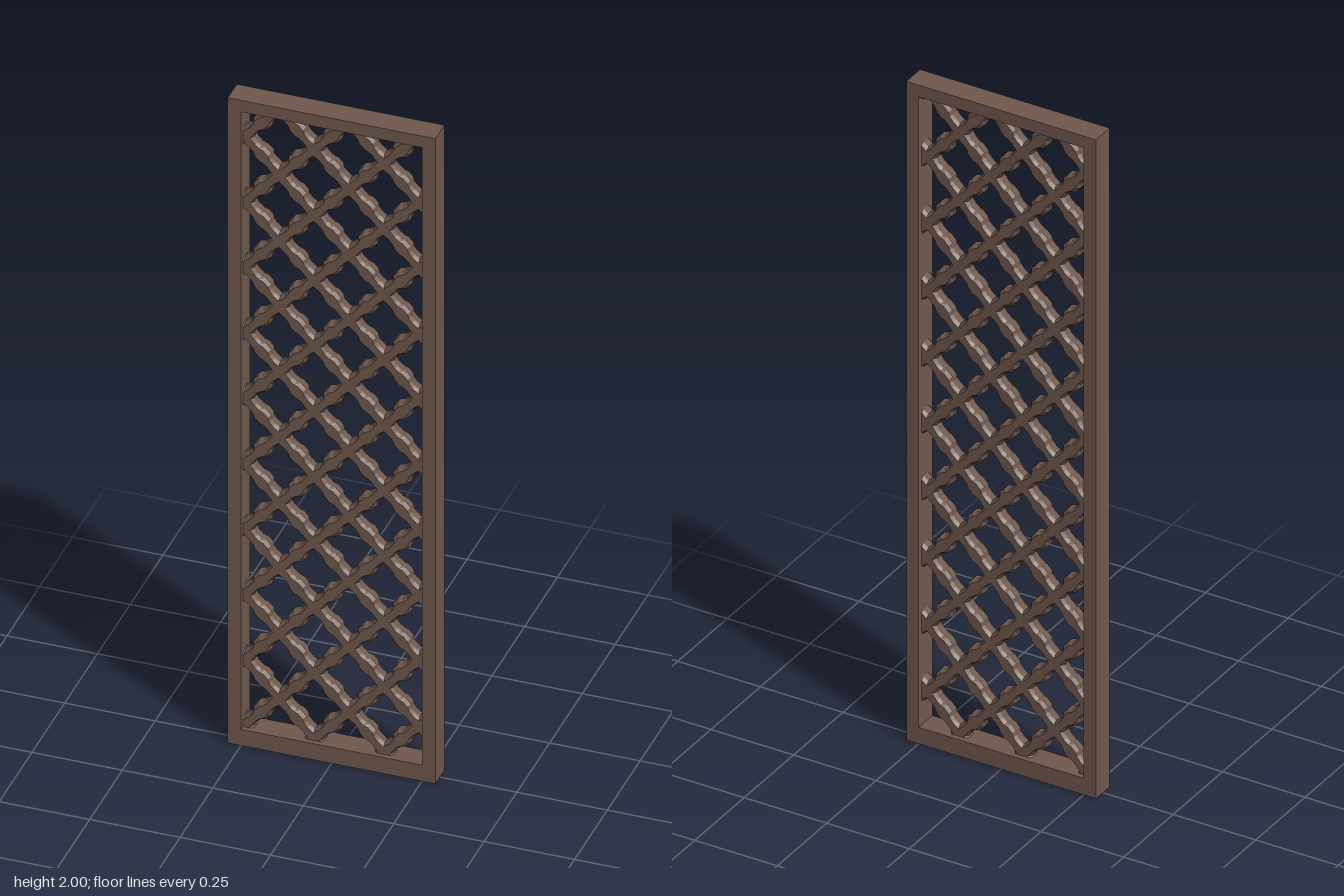
import * as THREE from 'three';

const W = 0.287, H = 2, SIDE = 0.037, BOTTOM = 0.05, TOP = 0.036, DEPTH = 0.069;
// lattice: one crossing point and half the diamond size
const X0 = 0.042, Y0 = 0.156, DX = 0.0965, DY = 0.1014;
const BAR_DEPTH = 0.02;
// half width of a bar between two crossings (position, width)
const PROFILE = [
  [0, 0.021], [0.12, 0.018], [0.25, 0.0145], [0.35, 0.0165], [0.43, 0.024],
  [0.57, 0.024], [0.65, 0.0165], [0.75, 0.0145], [0.88, 0.018], [1, 0.021],
];
// flat-faced bar section with chamfered edges (across, through)
const SECTION = [
  [1, -0.5], [1, 0.5], [0.65, 1], [-0.65, 1], [-1, 0.5], [-1, -0.5], [-0.65, -1], [0.65, -1],
];

function halfWidth(k) {
  const t = k - Math.floor(k);
  let i = 0;
  while (i < PROFILE.length - 2 && PROFILE[i + 1][0] < t) i++;
  const [a, b] = [PROFILE[i], PROFILE[i + 1]];
  return a[1] + ((b[1] - a[1]) * (t - a[0])) / (b[0] - a[0]);
}

// Diagonal bar with a cusp between crossings
function barGeometry(sign, m, k0, k1) {
  const stops = [k0];
  for (let n = Math.floor(k0); n <= k1; n++) {
    for (const [t] of PROFILE.slice(0, -1)) {
      if (n + t > k0 + 0.01 && n + t < k1 - 0.01) stops.push(n + t);
    }
  }
  stops.push(k1);
  const dir = new THREE.Vector2(sign * DX, DY).normalize();
  const pos = [], index = [], N = SECTION.length;
  stops.forEach((k, r) => {
    const w = halfWidth(k);
    const cx = X0 + DX * (sign * k + 2 * m), cy = Y0 + DY * k;
    SECTION.forEach(([u, z], j) => {
      pos.push(cx - dir.y * u * w, cy + dir.x * u * w, z * BAR_DEPTH);
      if (r > 0) {
        const q = (j + 1) % N, A = (r - 1) * N, B = r * N;
        index.push(A + j, A + q, B + j, A + q, B + q, B + j);
      }
    });
  });
  const geo = new THREE.BufferGeometry();
  geo.setAttribute('position', new THREE.Float32BufferAttribute(pos, 3));
  geo.setIndex(index);
  const flat = geo.toNonIndexed();
  flat.computeVertexNormals();
  return flat;
}

export function createModel() {
  const model = new THREE.Group();
  model.name = 'latticePanel';
  const wood = new THREE.MeshStandardMaterial({ color: 0x70594e });
  wood.name = 'brown wood';

  // Mitred frame
  const frame = new THREE.Group();
  frame.name = 'frame';
  const outer = [[-W, 0], [W, 0], [W, H], [-W, H]];
  const inner = [[-W + SIDE, BOTTOM], [W - SIDE, BOTTOM], [W - SIDE, H - TOP], [-W + SIDE, H - TOP]];
  ['bottomRail', 'leftStile', 'topRail', 'rightStile'].forEach((name, i) => {
    const n = (i + 1) % 4;
    const shape = new THREE.Shape([outer[i], outer[n], inner[n], inner[i]].map(p => new THREE.Vector2(...p)));
    const geo = new THREE.ExtrudeGeometry(shape, { depth: DEPTH, bevelEnabled: false });
    geo.translate(0, 0, -DEPTH / 2);
    const mesh = new THREE.Mesh(geo, wood);
    mesh.name = name;
    frame.add(mesh);
  });
  model.add(frame);

  // Crossing diagonal bars, ending inside the frame
  const lattice = new THREE.Group();
  lattice.name = 'lattice';
  const limit = W - 0.018;
  for (const sign of [1, -1]) {
    for (let m = -14; m <= 14; m++) {
      const ends = [-limit, limit].map(x => sign * ((x - X0) / DX - 2 * m)).sort((a, b) => a - b);
      const k0 = Math.max(ends[0], (0.028 - Y0) / DY);
      const k1 = Math.min(ends[1], (H - 0.02 - Y0) / DY);
      if (k1 - k0 < 0.3) continue;
      const bar = new THREE.Mesh(barGeometry(sign, m, k0, k1), wood);
      bar.name = sign > 0 ? 'risingBar' : 'fallingBar';
      lattice.add(bar);
    }
  }
  model.add(lattice);
  return model;
}
